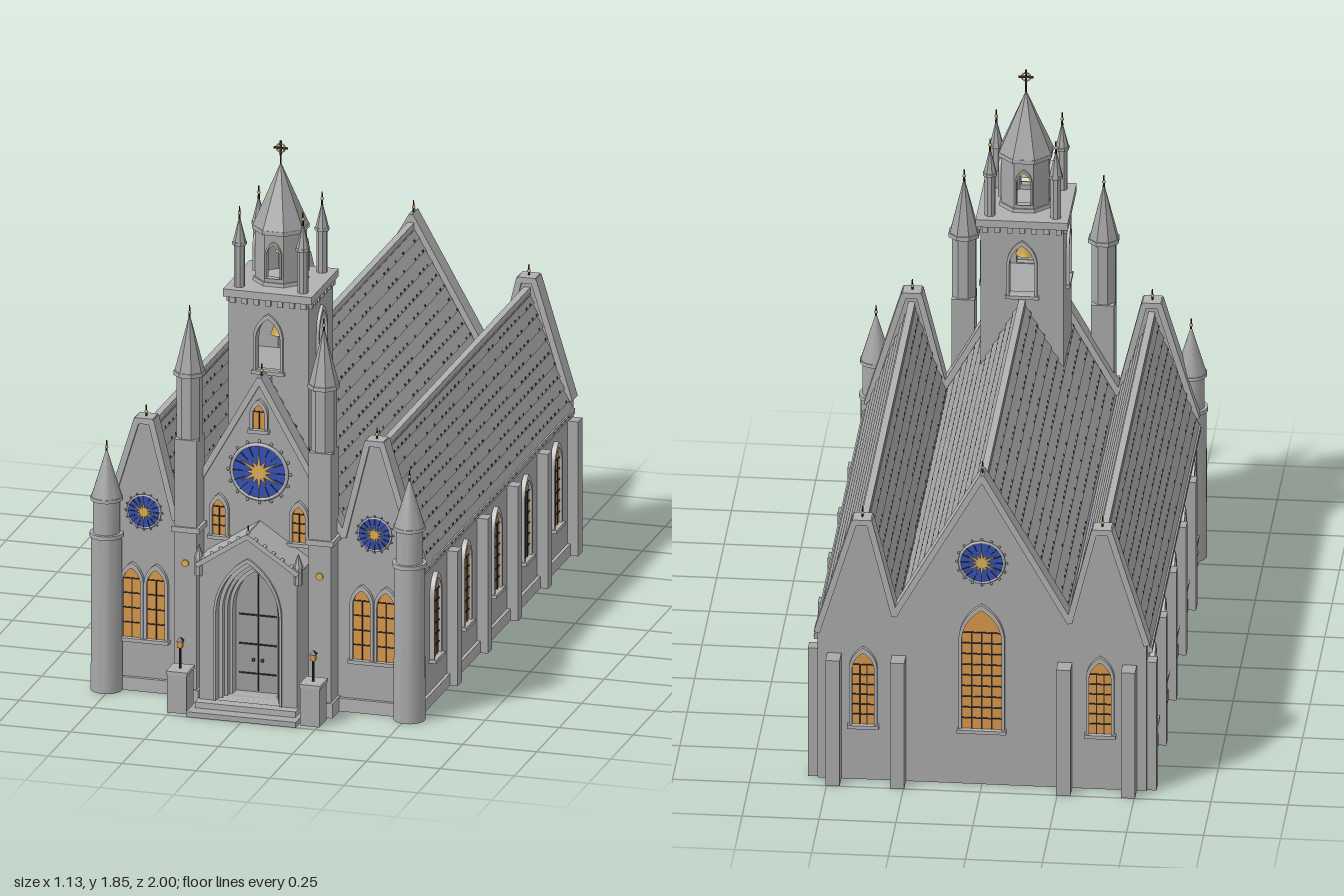
import * as THREE from 'three';
import { mergeGeometries, toCreasedNormals } from 'three/addons/utils/BufferGeometryUtils.js';

const mat = (name, color, side = THREE.FrontSide) => {
  const m = new THREE.MeshStandardMaterial({ color, side });
  m.name = name;
  return m;
};

export function createModel() {
  const model = new THREE.Group();
  model.name = 'church';
  const stone = mat('stone', 0xa8a8a8), trim = mat('pale trim', 0xb0b0b0), slate = mat('slate', 0xa2a2a2);
  const dark = mat('dark iron', 0x2c2c2c, THREE.DoubleSide), amber = mat('amber glass', 0xd8964a);
  const blue = mat('blue glass', 0x3350b8), gold = mat('gold', 0xd8ac58), wood = mat('door grey', 0x9c9c9c);
  let seed = 7;
  const rand = () => (seed = (seed * 16807) % 2147483647) / 2147483647;

  // Basic helpers; y is always the underside of the piece
  const add = (g, name, geo, m, x = 0, y = 0, z = 0) => {
    const mesh = new THREE.Mesh(geo, m);
    mesh.name = name;
    mesh.position.set(x, y, z);
    g.add(mesh);
    return mesh;
  };
  const group = (g, name, x = 0, y = 0, z = 0, ry = 0) => {
    const o = new THREE.Group();
    o.name = name;
    o.position.set(x, y, z);
    o.rotation.y = ry;
    g.add(o);
    return o;
  };
  const box = (g, name, m, w, h, d, x, y, z) => add(g, name, new THREE.BoxGeometry(w, h, d), m, x, y + h / 2, z);
  const cyl = (g, name, m, r0, r1, h, x, y, z, n = 8) => {
    const geo = new THREE.CylinderGeometry(r1, r0, h, n).rotateY(Math.PI / n);
    return add(g, name, toCreasedNormals(geo, 0.6), m, x, y + h / 2, z);
  };
  const extrude = (g, name, shape, m, depth, z = 0) =>
    add(g, name, new THREE.ExtrudeGeometry(shape, { depth, bevelEnabled: false, curveSegments: 10 }), m, 0, 0, z);
  const poly = pts => new THREE.Shape(pts.map(p => new THREE.Vector2(p[0], p[1])));

  // Pointed arch outline, w is half the width
  const lancet = (w, y0, y1) => {
    const s = new THREE.Shape(), spring = y1 - 1.732 * w;
    s.moveTo(-w, y0);
    s.lineTo(w, y0);
    s.lineTo(w, spring);
    s.absarc(-w, spring, 2 * w, 0, Math.PI / 3, false);
    s.absarc(w, spring, 2 * w, Math.PI * 2 / 3, Math.PI, false);
    s.lineTo(-w, y0);
    return s;
  };
  const archFrame = (g, name, w, y0, y1, t, depth, z, m = trim) => {
    const s = lancet(w + t, y0, y1 + 1.9 * t);
    s.holes.push(lancet(w, y0, y1));
    return extrude(g, name, s, m, depth, z);
  };
  const finial = (g, x, y, z) => {
    cyl(g, 'finialRod', dark, 0.004, 0.002, 0.045, x, y - 0.008, z, 6);
    add(g, 'finialBall', new THREE.SphereGeometry(0.006, 8, 6), gold, x, y + 0.014, z);
  };

  // Lancet window facing +z of its group
  const windowAt = (x, y0, y1, z, ry, w, bars = 5, uprights = 1) => {
    const g = group(model, 'lancetWindow', x, 0, z, ry);
    extrude(g, 'glass', lancet(w, y0, y1), amber, 0.006);
    archFrame(g, 'windowFrame', w, y0, y1, 0.01, 0.016, 0);
    box(g, 'sill', trim, 2 * w + 0.03, 0.012, 0.024, 0, y0 - 0.01, 0.012);
    const top = y1 - 1.3 * w;
    for (let i = 1; i <= bars; i++)
      box(g, 'glazingBar', dark, 2 * w, 0.004, 0.004, 0, y0 + (top - y0) * i / bars, 0.007);
    for (let i = 1; i <= uprights; i++)
      box(g, 'mullion', dark, 0.004, top - y0, 0.004, -w + 2 * w * i / (uprights + 1), y0, 0.007);
  };

  // Rose window with star tracery
  const rose = (x, y, z, ry, r) => {
    const g = group(model, 'roseWindow', x, y, z, ry);
    add(g, 'blueGlass', new THREE.CylinderGeometry(r, r, 0.008, 40).rotateX(Math.PI / 2), blue, 0, 0, 0.004);
    add(g, 'roseRim', new THREE.TorusGeometry(r, r * 0.07, 6, 40), trim, 0, 0, 0.006);
    const star = [];
    for (let i = 0; i < 24; i++) {
      const a = i * Math.PI / 12, q = i % 2 ? 0.24 * r : (i % 4 ? 0.5 : 0.75) * r;
      star.push([Math.sin(a) * q, Math.cos(a) * q]);
    }
    extrude(g, 'goldStar', poly(star), gold, 0.005, 0.008);
    for (let i = 0; i < 16; i++) {
      const a = i * Math.PI / 8, c = Math.cos(a), s = Math.sin(a);
      const spoke = box(g, 'tracery', dark, r * 0.4, 0.003, 0.004, c * r * 0.78, 0, 0.009);
      spoke.position.y = s * r * 0.78;
      spoke.rotation.z = a;
      add(g, 'rimStud', new THREE.SphereGeometry(r * 0.06, 6, 5), stone, c * r * 1.13, s * r * 1.13, 0.006);
    }
  };

  // Gable walls with copings, open hollow body
  const half = [[0.535, 0], [0.535, 0.53], [0.415, 0.925], [0.365, 0.925], [0.285, 0.6], [0, 1.105]];
  const outline = [...half, ...half.slice(0, 5).reverse().map(p => [-p[0], p[1]])];
  for (const [name, z] of [['frontGable', 0.75], ['backGable', -0.94]]) {
    extrude(model, name, poly(outline), stone, 0.04, z);
    for (const s of [-1, 1]) {
      for (let i = 1; i < 5; i++) {
        const [a, b] = half[i], [c, d] = half[i + 1];
        const coping = add(model, 'coping', new THREE.BoxGeometry(Math.hypot(c - a, d - b) + 0.01, 0.02, 0.06), trim, s * (a + c) / 2, (b + d) / 2, z + 0.02);
        coping.rotation.z = s * Math.atan2(d - b, c - a);
      }
      finial(model, s * 0.39, 0.935, z + 0.02);
    }
    finial(model, 0, 1.115, z + 0.02);
  }
  for (const s of [-1, 1]) {
    box(model, 'sideWall', stone, 0.04, 0.52, 1.66, s * 0.51, 0, -0.075);
    box(model, 'naveWall', stone, 0.035, 0.58, 1.66, s * 0.27, 0, -0.075);
    box(model, 'sidePlinth', trim, 0.012, 0.04, 1.68, s * 0.535, 0, -0.075);
    box(model, 'eaves', trim, 0.03, 0.02, 1.66, s * 0.535, 0.48, -0.075);
    for (const z of [0.43, 0.095, -0.24, -0.575, -0.91]) {
      box(model, 'buttress', stone, 0.045, 0.46, 0.046, s * 0.544, 0, z);
    }
    for (const z of [0.6, 0.265, -0.07, -0.405, -0.74]) windowAt(s * 0.53, 0.15, 0.42, z, s * Math.PI / 2, 0.036, 6, 2);
    for (const x of [0.27, 0.48]) box(model, 'rearButtress', stone, 0.046, 0.45, 0.065, s * x, 0, -0.967);
    windowAt(s * 0.385, 0.2, 0.46, -0.94, Math.PI, 0.036, 6, 2);
    // Front aisle bays
    for (const x of [0.348, 0.43]) windowAt(s * x, 0.18, 0.42, 0.79, 0, 0.03, 4, 1);
    rose(s * 0.39, 0.615, 0.79, 0, 0.055);
    box(model, 'frontPlinth', trim, 0.21, 0.045, 0.015, s * 0.37, 0, 0.795);
    windowAt(s * 0.135, 0.56, 0.685, 0.79, 0, 0.022, 3, 1);
  }
  rose(0, 0.79, 0.79, 0, 0.093);
  windowAt(0, 0.935, 1.02, 0.79, 0, 0.02, 1, 1);
  rose(0, 0.8, -0.94, Math.PI, 0.072);
  windowAt(0, 0.2, 0.63, -0.94, Math.PI, 0.065, 9, 3);

  // Stepped slate courses from eave p to ridge q, with dark joints
  const slope = (p, q, n) => {
    const dir = new THREE.Vector3(q[0] - p[0], q[1] - p[1], 0), L = dir.length();
    dir.normalize();
    const k = Math.sign(dir.x), nx = -dir.y * k, ny = dir.x * k;
    const at = (t, o) => [p[0] + dir.x * L * t + nx * o, p[1] + dir.y * L * t + ny * o];
    const pts = [at(0, -0.015)], joints = [];
    for (let i = 0; i < n; i++) {
      pts.push(at(i / n, 0.01), at((i + 1) / n, 0.003));
      for (let z = -0.88 + (i % 2) * 0.02; z < 0.74; z += 0.042) {
        if (rand() < 0.3) continue;
        const c = at((i + 0.14) / n, 0.0105);
        const m = new THREE.Matrix4().makeBasis(new THREE.Vector3(0, 0, k), dir, new THREE.Vector3(nx, ny, 0));
        joints.push(new THREE.PlaneGeometry(0.012 + rand() * 0.008, 0.008).applyMatrix4(m.setPosition(c[0], c[1], z)));
      }
    }
    pts.push(at(1, -0.015));
    extrude(model, 'roofSlope', poly(pts), slate, 1.66, -0.905);
    add(model, 'slateJoints', mergeGeometries(joints), dark);
  };
  for (const s of [-1, 1]) {
    slope([s * 0.285, 0.56], [0, 1.07], 13);
    slope([s * 0.285, 0.59], [s * 0.39, 0.885], 7);
    slope([s * 0.542, 0.485], [s * 0.39, 0.885], 10);
  }
  for (const [x, y] of [[0, 1.065], [0.39, 0.88], [-0.39, 0.88]]) box(model, 'ridgeCap', trim, 0.022, 0.02, 1.66, x, y, -0.075);

  for (const s of [-1, 1]) {
    // Round corner turrets
    const t = group(model, 'cornerTurret', s * 0.512, 0, 0.81);
    cyl(t, 'turretBase', stone, 0.052, 0.05, 0.53, 0, 0, 0, 24);
    cyl(t, 'turretRing', trim, 0.055, 0.055, 0.014, 0, 0.525, 0, 24);
    cyl(t, 'turretShaft', stone, 0.044, 0.044, 0.12, 0, 0.535, 0, 24);
    cyl(t, 'turretRing', trim, 0.052, 0.052, 0.012, 0, 0.65, 0, 24);
    cyl(t, 'turretSpire', slate, 0.05, 0.002, 0.16, 0, 0.66, 0, 24);
    finial(t, 0, 0.815, 0);
    // Tall pinnacles beside the nave front
    const g = group(model, 'tallPinnacle', s * 0.227, 0, 0.825);
    box(g, 'pier', stone, 0.075, 0.9, 0.09, 0, 0, 0);
    box(g, 'pierCap', trim, 0.095, 0.018, 0.105, 0, 0.585, 0);
    box(g, 'pierFoot', trim, 0.09, 0.05, 0.105, 0, 0, 0);
    add(g, 'goldBoss', new THREE.CylinderGeometry(0.012, 0.012, 0.008, 12).rotateX(Math.PI / 2), gold, 0, 0.48, 0.048);
    cyl(g, 'shaft', stone, 0.042, 0.042, 0.23, 0, 0.89, 0);
    cyl(g, 'shaftCap', trim, 0.053, 0.053, 0.014, 0, 1.112, 0);
    cyl(g, 'spire', slate, 0.05, 0.002, 0.19, 0, 1.122, 0);
    finial(g, 0, 1.31, 0);
    // Lamps on plinths
    const l = group(model, 'lamp', s * 0.225, 0, 0.935);
    box(l, 'lampPlinth', stone, 0.065, 0.135, 0.08, 0, 0, 0);
    box(l, 'lampPlinthCap', trim, 0.072, 0.012, 0.086, 0, 0.13, 0);
    cyl(l, 'lampPost', dark, 0.004, 0.004, 0.075, 0, 0.14, 0);
    box(l, 'lampGlow', amber, 0.016, 0.022, 0.016, 0, 0.213, 0);
    cyl(l, 'lampHood', dark, 0.017, 0.002, 0.013, 0, 0.235, 0, 4);
  }

  // Gabled porch with stepped arch, double door and stairs
  const porch = group(model, 'porch');
  const front = poly([[-0.165, 0], [0.165, 0], [0.165, 0.495], [0, 0.605], [-0.165, 0.495]]);
  front.holes.push(lancet(0.107, 0.03, 0.52));
  extrude(porch, 'porchFront', front, stone, 0.13, 0.79);
  for (let i = 0; i < 3; i++) archFrame(porch, 'archMoulding', 0.095 - i * 0.01, 0.04, 0.5 - i * 0.018, 0.011, 0.1 - i * 0.025, 0.795, i % 2 ? stone : trim);
  archFrame(porch, 'archHood', 0.107, 0.04, 0.52, 0.008, 0.012, 0.918);
  extrude(porch, 'door', lancet(0.077, 0.04, 0.47), wood, 0.012, 0.795);
  box(porch, 'doorSeam', dark, 0.004, 0.41, 0.004, 0, 0.045, 0.809);
  for (const y of [0.1, 0.2, 0.3]) box(porch, 'hinge', dark, 0.13, 0.005, 0.004, 0, y, 0.809);
  for (const s of [-1, 1]) {
    const r = add(porch, 'porchRoof', new THREE.BoxGeometry(0.21, 0.016, 0.145), trim, s * 0.085, 0.556, 0.863);
    r.rotation.z = -s * Math.atan2(0.11, 0.165);
    cyl(porch, 'porchPinnacle', stone, 0.014, 0.014, 0.06, s * 0.168, 0.46, 0.915);
    cyl(porch, 'porchSpire', slate, 0.017, 0.001, 0.045, s * 0.168, 0.52, 0.915);
    add(porch, 'doorHandle', new THREE.SphereGeometry(0.006, 8, 6), dark, s * 0.015, 0.15, 0.812);
    for (let i = 0; i < 5; i++) add(porch, 'crocket', new THREE.SphereGeometry(0.007, 6, 5), trim, s * (0.03 + i * 0.03), 0.605 - i * 0.02, 0.93);
  }
  finial(porch, 0, 0.61, 0.92);
  box(porch, 'upperStep', trim, 0.34, 0.038, 0.16, 0, 0, 0.875);
  box(porch, 'lowerStep', stone, 0.37, 0.018, 0.1, 0, 0, 0.95);

  // Bell tower
  const tower = group(model, 'bellTower', 0, 0, 0.557);
  const panel = (g, name, w, y0, y1, hw, h0, h1, r, t) => {
    const s = poly([[-w, y0], [w, y0], [w, y1], [-w, y1]]);
    if (hw) {
      s.holes.push(lancet(hw, h0, h1));
      archFrame(g, 'openingFrame', hw, h0, h1, hw * 0.22, 0.012, r - 0.002);
    }
    extrude(g, name, s, stone, t, r - t);
  };
  for (let k = 0; k < 4; k++) {
    const g = group(tower, 'towerSide', 0, 0, 0, k * Math.PI / 2);
    panel(g, 'towerWall', 0.135, 0.75, 1.35, 0.041, 1.1, 1.28, 0.135, 0.03);
    box(g, 'openingSill', trim, 0.11, 0.012, 0.02, 0, 1.09, 0.138);
    for (let i = 0; i < 7; i++) box(g, 'dentil', trim, 0.018, 0.022, 0.012, -0.12 + i * 0.04, 1.325, 0.139);
    const p = group(g, 'towerPinnacle', 0.107, 0, 0.107);
    cyl(p, 'pinnacleShaft', stone, 0.018, 0.018, 0.15, 0, 1.37, 0);
    cyl(p, 'pinnacleCap', trim, 0.024, 0.024, 0.01, 0, 1.515, 0);
    cyl(p, 'pinnacleSpire', slate, 0.022, 0.001, 0.085, 0, 1.525, 0);
    finial(p, 0, 1.608, 0);
  }
  box(tower, 'belfryFloor', stone, 0.25, 0.012, 0.25, 0, 1.085, 0);
  box(tower, 'cornice', trim, 0.3, 0.026, 0.3, 0, 1.346, 0);
  for (let k = 0; k < 8; k++) {
    const g = group(tower, 'lanternSide', 0, 0, 0, k * Math.PI / 4);
    panel(g, 'lanternWall', 0.0325, 1.37, 1.555, k % 2 ? 0 : 0.023, 1.4, 1.515, 0.078, 0.014);
  }
  cyl(tower, 'lanternFoot', trim, 0.092, 0.09, 0.014, 0, 1.37, 0);
  cyl(tower, 'lanternCornice', trim, 0.093, 0.093, 0.014, 0, 1.547, 0);
  cyl(tower, 'towerSpire', slate, 0.092, 0.003, 0.205, 0, 1.56, 0);

  // Bells and the crowning wheel cross
  const profile = [[0.034, 0], [0.03, 0.008], [0.024, 0.025], [0.021, 0.045], [0.014, 0.057], [0, 0.061]].map(p => new THREE.Vector2(...p));
  const bell = mat('bell gold', 0xc8a04c, THREE.DoubleSide);
  add(tower, 'bell', new THREE.LatheGeometry(profile, 24), bell, 0, 1.185, 0);
  add(tower, 'smallBell', new THREE.LatheGeometry(profile, 20), bell, 0, 1.465, 0).scale.setScalar(0.55);
  box(tower, 'bellBeam', dark, 0.22, 0.01, 0.012, 0, 1.248, 0);
  box(tower, 'smallBellBeam', dark, 0.13, 0.006, 0.008, 0, 1.5, 0);
  cyl(tower, 'crossRod', dark, 0.003, 0.003, 0.06, 0, 1.755, 0);
  add(tower, 'crossRing', new THREE.TorusGeometry(0.014, 0.003, 6, 20), gold, 0, 1.82, 0);
  box(tower, 'crossUpright', dark, 0.006, 0.05, 0.006, 0, 1.795, 0);
  box(tower, 'crossArm', dark, 0.048, 0.006, 0.006, 0, 1.817, 0);
  return model;
}
